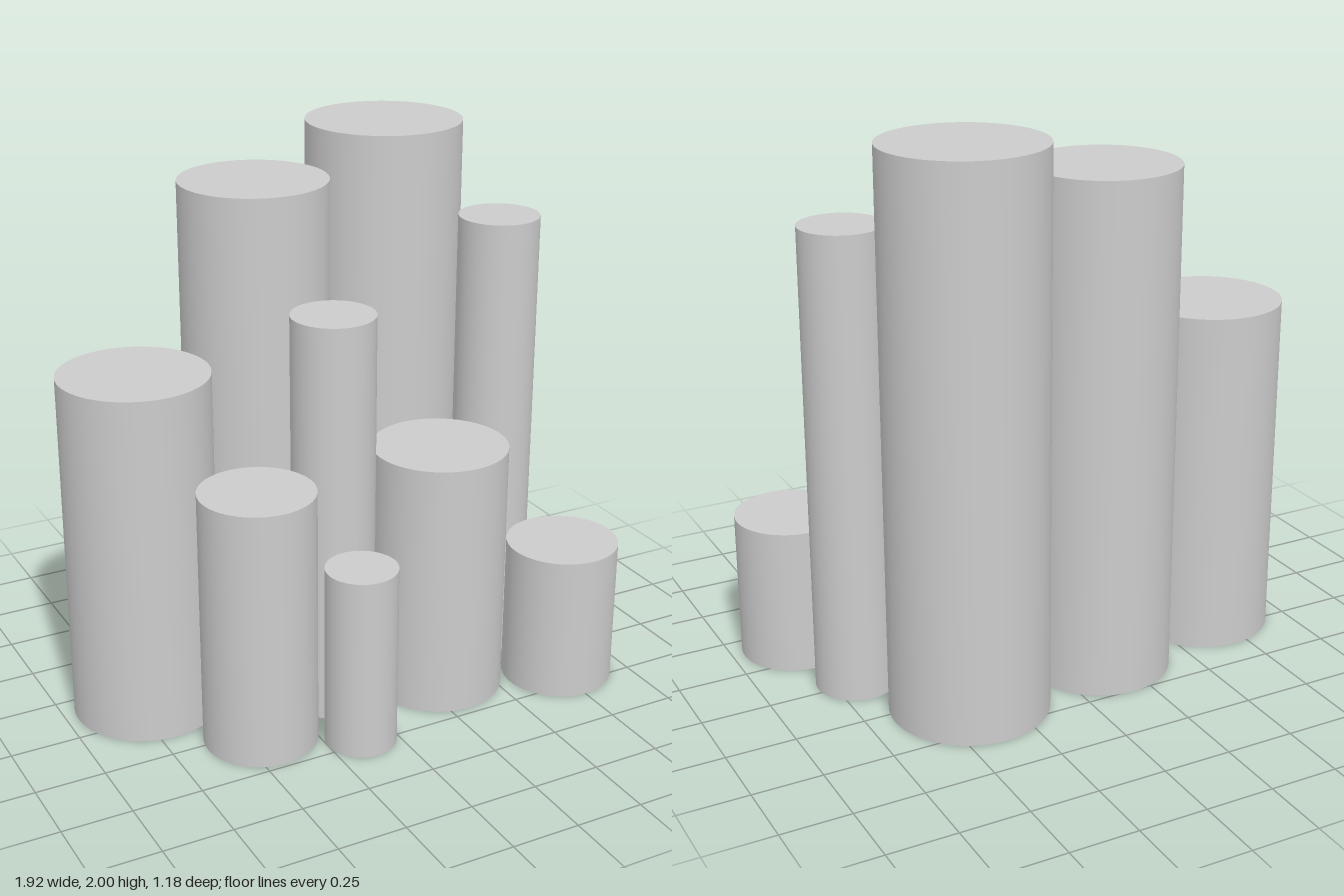
import * as THREE from 'three';

// Each column: name, centre x, centre z, radius, height
const COLUMNS = [
  ['backLeftColumn', 0.375, -0.308, 0.283, 2.0],
  ['backMiddleColumn', -0.175, -0.243, 0.265, 1.86],
  ['backRightColumn', -0.695, -0.113, 0.265, 1.28],
  ['slimLeftColumn', 0.663, 0.025, 0.146, 1.69],
  ['slimMiddleColumn', -0.083, 0.175, 0.148, 1.48],
  ['frontMiddleColumn', 0.318, 0.224, 0.244, 0.945],
  ['frontRightColumn', -0.428, 0.282, 0.203, 0.945],
  ['smallFrontColumn', -0.124, 0.46, 0.127, 0.67],
  ['shortLeftColumn', 0.755, 0.38, 0.203, 0.54],
];

export function createModel() {
  const group = new THREE.Group();
  group.name = 'columnCluster';
  const material = new THREE.MeshStandardMaterial({ color: 0xcccccc });

  // Solid round columns standing on the ground
  for (const [name, x, z, radius, height] of COLUMNS) {
    const column = new THREE.Mesh(new THREE.CylinderGeometry(radius, radius, height, 64), material);
    column.name = name;
    column.position.set(x, height / 2, z);
    group.add(column);
  }
  return group;
}
